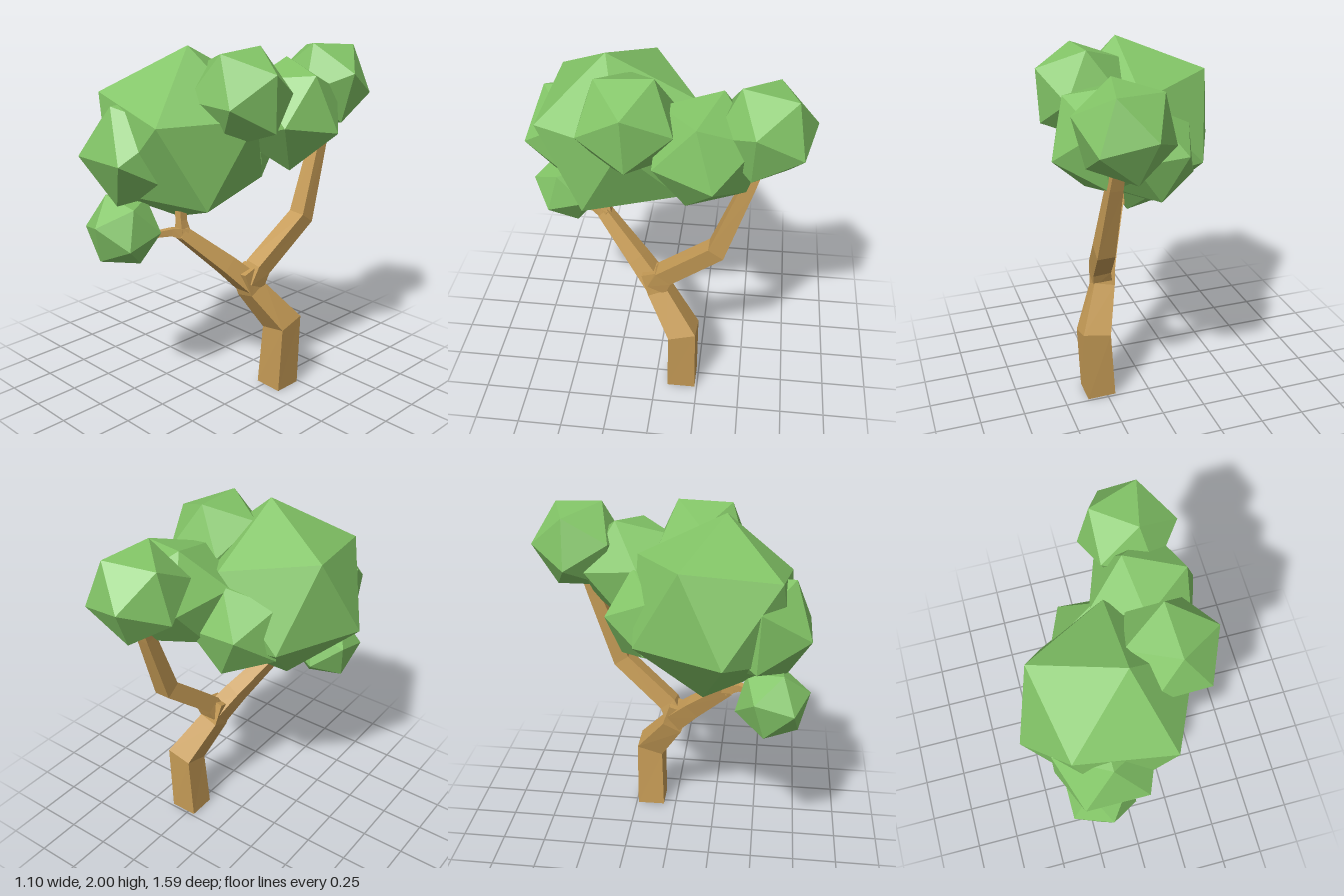
import * as THREE from 'three';

const leafMaterial = new THREE.MeshStandardMaterial({ color: 0x82c466, flatShading: true });
const woodMaterial = new THREE.MeshStandardMaterial({ color: 0xc49a55, flatShading: true });

// Square limb lofted along a path of [x, y, z, halfWidth]
function limb(name, path) {
  const points = path.map(([x, y, z]) => new THREE.Vector3(x, y, z));
  const last = points.length - 1;
  const positions = [], index = [];
  points.forEach((p, i) => {
    const before = p.clone().sub(points[Math.max(i - 1, 0)]).normalize();
    const after = points[Math.min(i + 1, last)].clone().sub(p).normalize();
    const t = before.add(after).normalize();
    const u = new THREE.Vector3(1, 0, 0).addScaledVector(t, -t.x).normalize();
    const v = t.clone().cross(u);
    const h = path[i][3];
    for (const [a, b] of [[1, 1], [-1, 1], [-1, -1], [1, -1]]) {
      const corner = p.clone().addScaledVector(u, a * h).addScaledVector(v, b * h);
      positions.push(corner.x, Math.max(corner.y, 0), corner.z);
    }
    if (i === last) return;
    for (let k = 0; k < 4; k++) {
      const a = i * 4 + k, b = i * 4 + (k + 1) % 4;
      index.push(a, b, b + 4, a, b + 4, a + 4);
    }
  });
  // End caps
  const e = last * 4;
  index.push(0, 2, 1, 0, 3, 2, e, e + 1, e + 2, e, e + 2, e + 3);
  let geometry = new THREE.BufferGeometry();
  geometry.setAttribute('position', new THREE.Float32BufferAttribute(positions, 3));
  geometry.setIndex(index);
  geometry = geometry.toNonIndexed();
  geometry.computeVertexNormals();
  const mesh = new THREE.Mesh(geometry, woodMaterial);
  mesh.name = name;
  return mesh;
}

// Icosahedral leaf clump, turned so two neighbouring corners point along a and b
function clump(name, centre, radius, a, b) {
  const va = new THREE.Vector3(...a).normalize();
  const vb = new THREE.Vector3(...b).normalize();
  const y = va.clone().add(vb).normalize();
  const x = vb.clone().sub(va).normalize();
  const mesh = new THREE.Mesh(new THREE.IcosahedronGeometry(radius, 0), leafMaterial);
  mesh.quaternion.setFromRotationMatrix(new THREE.Matrix4().makeBasis(x, y, x.clone().cross(y)));
  mesh.position.set(...centre);
  mesh.name = name;
  return mesh;
}

export function createModel() {
  const tree = new THREE.Group();
  tree.name = 'tree';

  // Trunk, forking into a front and a back branch
  tree.add(
    limb('trunk', [[0.285, 0, -0.155, 0.082], [0.305, 0.4, -0.16, 0.08], [0.205, 0.62, -0.01, 0.06], [0.19, 0.75, 0.03, 0.06]]),
    limb('frontBranch', [[0.2, 0.65, 0, 0.058], [0.13, 0.78, 0.12, 0.05], [0, 0.99, 0.33, 0.035]]),
    limb('backBranch', [[0.21, 0.66, 0, 0.055], [0.225, 0.75, -0.04, 0.052], [0.285, 1, -0.33, 0.05], [0.27, 1.42, -0.48, 0.036], [0.26, 1.6, -0.54, 0.03]]),
    limb('upperTwig', [[0, 0.97, 0.32, 0.034], [-0.01, 1.06, 0.325, 0.022], [-0.03, 1.2, 0.31, 0.024]]),
    limb('lowerTwig', [[0.01, 0.98, 0.31, 0.034], [-0.02, 1.005, 0.39, 0.02], [-0.07, 1, 0.5, 0.014]])
  );

  // Foliage
  tree.add(
    clump('mainFoliage', [-0.08, 1.505, 0.24], 0.505, [0.1, 0.495, 0.05], [0.26, 0.145, 0.41]),
    clump('upperLeftFoliage', [0.26, 1.745, 0.145], 0.285, [0.245, 0.135, 0], [0, 0.255, -0.145]),
    clump('backLeftFoliage', [0.243, 1.602, -0.246], 0.317, [0.092, -0.292, 0.086], [0.302, -0.075, -0.064]),
    clump('rearFoliage', [0.237, 1.73, -0.55], 0.272, [0.24, 0.075, 0.05], [0.075, 0.195, -0.14]),
    clump('frontFoliage', [-0.153, 1.45, 0.49], 0.315, [0.165, -0.01, 0.27], [-0.165, -0.01, 0.27]),
    clump('lowFoliage', [-0.2, 1.02, 0.575], 0.212, [0.02, 0.065, 0.2], [-0.07, 0.19, 0.06]),
    clump('innerFoliage', [-0.05, 1.43, -0.09], 0.29, [-0.145, 0.06, -0.24], [0, -0.235, -0.17])
  );
  return tree;
}
